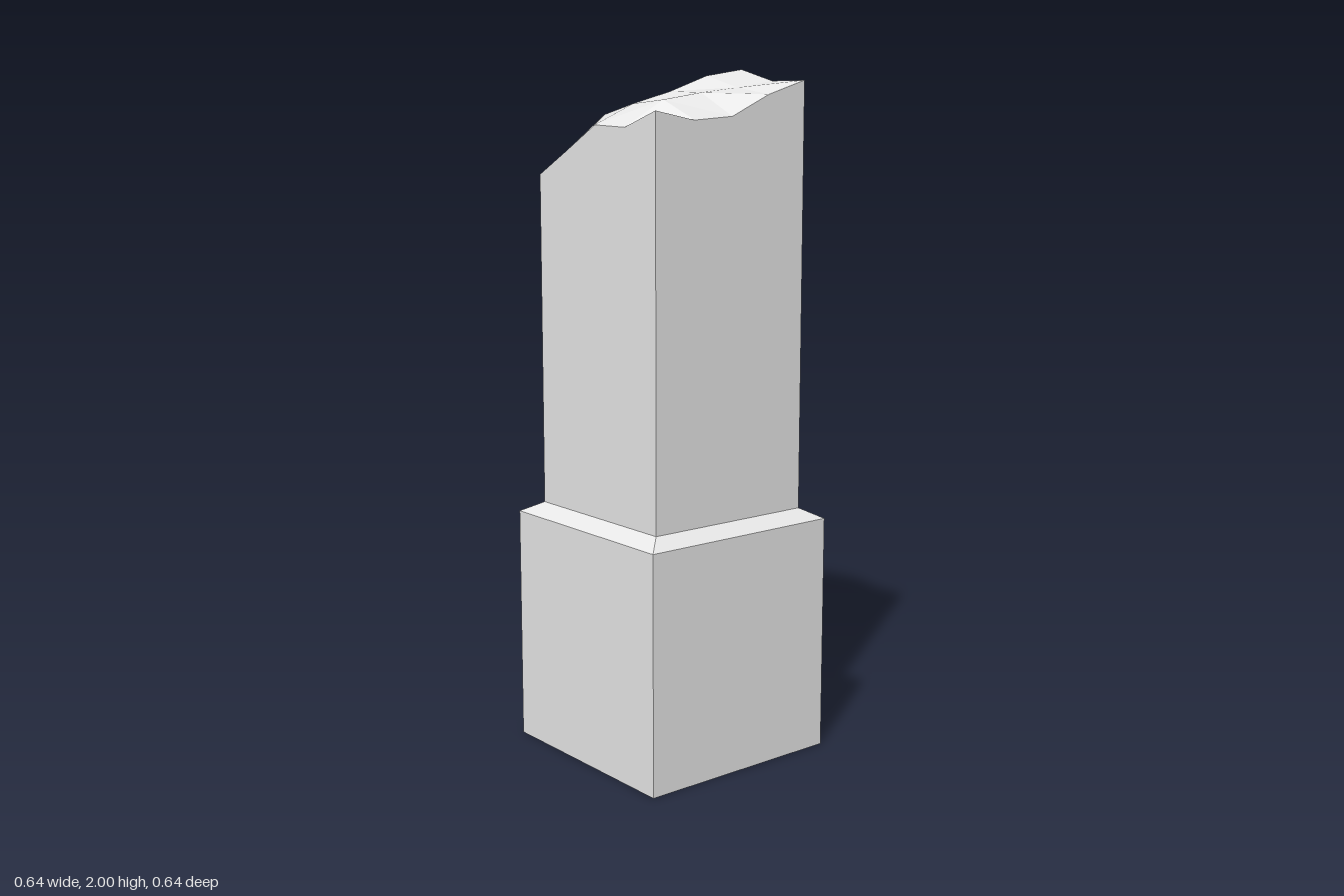
import * as THREE from 'three';

// Heights of the broken top: rows run back to front, columns from -x to +x
const HEIGHTS = [
  [1.70, 1.765, 1.845, 1.865, 1.90],
  [1.77, 1.87, 1.895, 1.93, 1.965],
  [1.842, 1.90, 1.935, 1.98, 2.0],
  [1.836, 1.91, 1.93, 1.945, 1.965],
  [1.88, 1.855, 1.865, 1.925, 1.965],
];
const N = 4, SHAFT = 0.268, BASE = 0.322;
const BASE_TOP = 0.70, SHAFT_BOTTOM = 0.73;

const at = (i) => -SHAFT + (2 * SHAFT * i) / N;
const topPoint = (i, j) => [at(i), HEIGHTS[j][i], at(j)];

function meshFrom(name, triangles, material) {
  const geometry = new THREE.BufferGeometry();
  geometry.setAttribute('position', new THREE.Float32BufferAttribute(triangles.flat(2), 3));
  geometry.computeVertexNormals();
  const mesh = new THREE.Mesh(geometry, material);
  mesh.name = name;
  return mesh;
}

// Joins two matching closed loops with a band of quads facing outward
function band(lower, upper) {
  const triangles = [];
  lower.forEach((a, k) => {
    const n = (k + 1) % lower.length;
    triangles.push([a, lower[n], upper[n]], [a, upper[n], upper[k]]);
  });
  return triangles;
}

const square = (r, y) => [[-r, y, r], [r, y, r], [r, y, -r], [-r, y, -r]];

export function createModel() {
  const group = new THREE.Group();
  group.name = 'brokenPillar';
  const stone = new THREE.MeshStandardMaterial({ color: 0xe7e7e7 });
  stone.name = 'pale grey stone';
  stone.side = THREE.DoubleSide;
  stone.flatShading = true;

  // Plinth, open underneath, and its sloping shoulder
  group.add(meshFrom('plinth', band(square(BASE, 0), square(BASE, BASE_TOP)), stone));
  group.add(meshFrom('shoulder', band(square(BASE, BASE_TOP), square(SHAFT, SHAFT_BOTTOM)), stone));

  // Shaft walls follow the rim of the broken top
  const rim = [];
  for (let k = 0; k < N; k++) rim.push(topPoint(k, N));
  for (let k = 0; k < N; k++) rim.push(topPoint(N, N - k));
  for (let k = 0; k < N; k++) rim.push(topPoint(N - k, 0));
  for (let k = 0; k < N; k++) rim.push(topPoint(0, k));
  const foot = rim.map(([x, , z]) => [x, SHAFT_BOTTOM, z]);
  group.add(meshFrom('shaft', band(foot, rim), stone));

  // Broken top: the cell diagonals mirror between the back and front halves
  const facets = [];
  for (let j = 0; j < N; j++) {
    for (let i = 0; i < N; i++) {
      const a = topPoint(i, j), b = topPoint(i + 1, j);
      const c = topPoint(i + 1, j + 1), d = topPoint(i, j + 1);
      if (j < N / 2) facets.push([a, d, b], [b, d, c]);
      else facets.push([a, d, c], [a, c, b]);
    }
  }
  group.add(meshFrom('brokenTop', facets, stone));
  return group;
}
